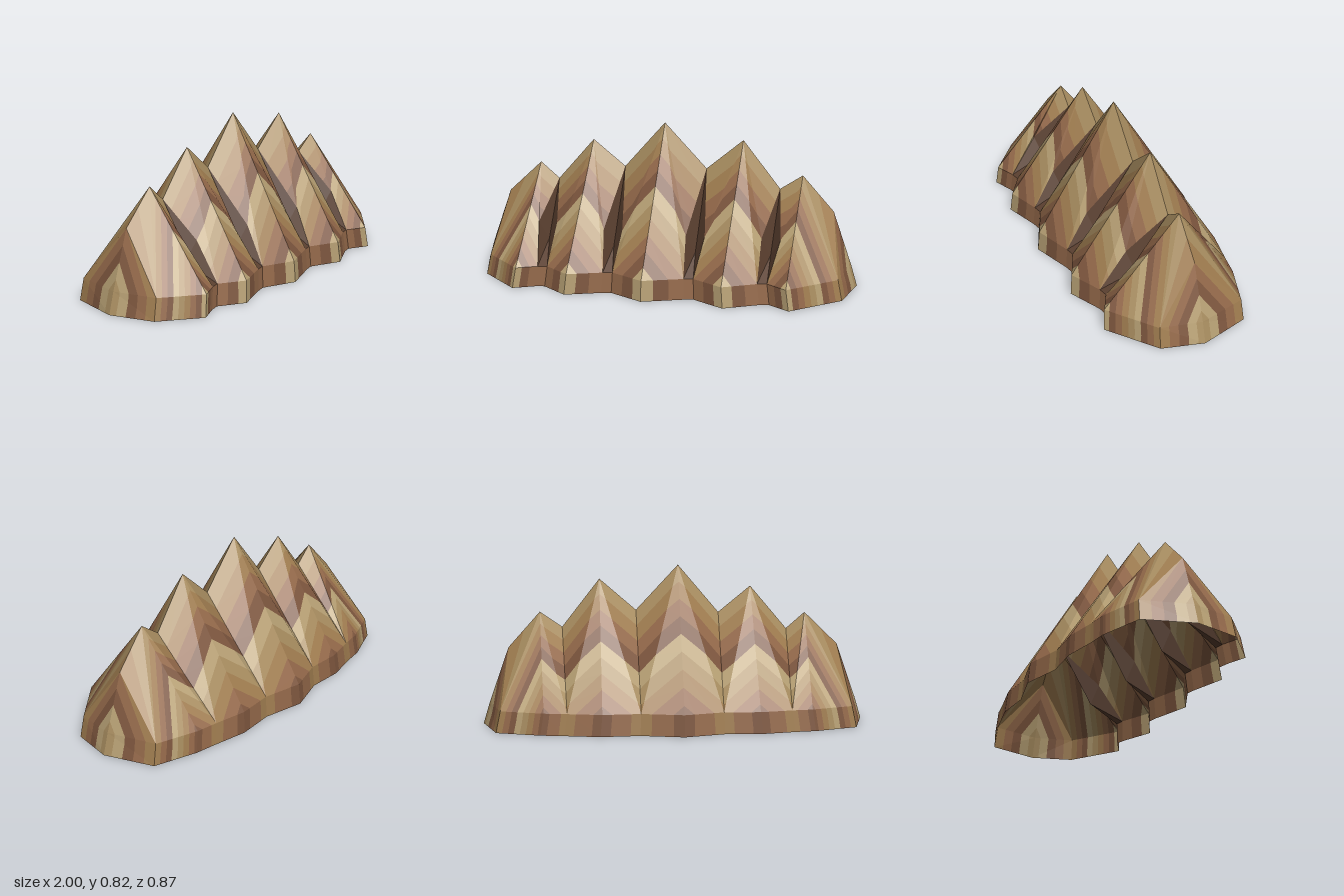
import * as THREE from 'three';

// Rock layers, repeated in this order from the ridge downwards
const LAYERS = [
  ['tanStrata', 0xa88d60], ['ochreStrata', 0xa07d50], ['brownStrata', 0x94694a],
  ['darkStrata', 0x7d563e], ['paleStrata', 0xb7a074],
];
const SKIRT = 0.11;   // height of the steep foot
const TAPER = 0.975;  // foot narrows slightly upwards

// Points are [x, y, z, layer]; ridge summits and saddles are [x, y]
const PEAKS = [[-0.69, 0.57], [-0.4, 0.712], [-0.02, 0.825], [0.39, 0.755], [0.7, 0.585]];
const SADDLES = [[-0.592, 0.485], [-0.232, 0.575], [0.2, 0.59], [0.585, 0.505]];
// Plan positions [x, z] of the foot below each summit and saddle
const FRONT_FOOT = [[-0.75, 0.39], [-0.465, 0.42], [-0.06, 0.43], [0.36, 0.43], [0.69, 0.4]];
const GULLY_Z = [0.335, 0.35, 0.35, 0.34];
const BACK_FOOT = [[-0.7, -0.34], [-0.42, -0.39], [-0.02, -0.44], [0.4, -0.4], [0.7, -0.34]];
const BACK_SADDLE = [[-0.59, -0.355], [-0.23, -0.38], [0.2, -0.388], [0.58, -0.362]];

// Keep the part of a polygon where sign * (layer - level) >= 0
function clip(poly, level, sign) {
  const out = [];
  poly.forEach((a, i) => {
    const b = poly[(i + 1) % poly.length];
    const da = sign * (a[3] - level), db = sign * (b[3] - level);
    if (da >= 0) out.push(a);
    if (da * db < 0) out.push(a.map((v, k) => v + (b[k] - v) * da / (da - db)));
  });
  return out;
}

function pushFan(target, poly) {
  for (let i = 1; i < poly.length - 1; i++)
    for (const p of [poly[0], poly[i], poly[i + 1]]) target.push(p[0], p[1], p[2]);
}

function makeMesh(name, color, positions) {
  const geometry = new THREE.BufferGeometry();
  geometry.setAttribute('position', new THREE.Float32BufferAttribute(positions, 3));
  geometry.computeVertexNormals();
  const mesh = new THREE.Mesh(geometry, new THREE.MeshStandardMaterial({
    color, flatShading: true, side: THREE.DoubleSide,
  }));
  mesh.name = name;
  return mesh;
}

export function createModel() {
  const group = new THREE.Group();
  group.name = 'mountainRidge';
  const strata = LAYERS.map(() => []);
  const gully = [];

  // Slice a triangle into rock layers
  const tri = (...p) => {
    const t = p.map(v => v[3]);
    for (let k = Math.floor(Math.min(...t)); k <= Math.max(...t); k++) {
      const slice = clip(clip(p, k, 1), k + 1, -1);
      if (slice.length > 2) pushFan(strata[k % LAYERS.length], slice);
    }
  };
  const fan = (...p) => {
    for (let i = 1; i < p.length - 1; i++) tri(p[0], p[i], p[i + 1]);
  };
  const foot = ([x, z], layer) => [x * TAPER, SKIRT, z * TAPER, layer];
  const top = ([x, y]) => [x, y, 0, 0];

  const peaks = PEAKS.map(top), saddles = SADDLES.map(top);
  const frontFoot = FRONT_FOOT.map(p => foot(p, 9.8));
  const backFoot = BACK_FOOT.map(p => foot(p, 8.5));
  const backSaddle = BACK_SADDLE.map(p => foot(p, 6.5));

  // Gullies cut into the front, one below each saddle
  const gullies = SADDLES.map(([x, y], i) => {
    const z = GULLY_Z[i];
    const edgeZ = z * (y - 0.3) / (y - SKIRT) + 0.02;
    return {
      left: [x - 0.065, 0.3, edgeZ, 4], right: [x + 0.033, 0.3, edgeZ, 4],
      inner: [x - 0.02, 0.2, edgeZ - 0.03, 0],
      footLeft: foot([x - 0.05, z + 0.01], 7), footRight: foot([x, z], 7),
    };
  });
  gullies.forEach((g, i) => {
    pushFan(gully, [g.inner, saddles[i], g.left, g.footLeft, g.footRight, g.right, saddles[i]]);
    // Front and back slopes on both sides of the gully
    fan(peaks[i], frontFoot[i], g.footLeft, g.left, saddles[i]);
    fan(peaks[i + 1], saddles[i], g.right, g.footRight, frontFoot[i + 1]);
    fan(peaks[i], saddles[i], backSaddle[i], backFoot[i]);
    fan(peaks[i + 1], backFoot[i + 1], backSaddle[i], saddles[i]);
  });

  // Fan-shaped ends
  const ends = [-1, 1].map(s => {
    const k = s < 0 ? 0 : 4;
    const end = {
      front: foot([s * 0.94, s < 0 ? 0.23 : 0.215], 1),
      back: foot([s * 0.925, -0.26], 1),
      tip: foot([s * 0.99, 0], 5.7),
      shoulder: [s * 0.865, 0.4, 0, 2],
    };
    end.tip[0] = s * 0.967;
    const face = (a, b, c) => (s > 0 ? tri(a, b, c) : tri(a, c, b));
    face(peaks[k], frontFoot[k], end.front);
    face(peaks[k], end.front, end.shoulder);
    face(end.shoulder, end.front, end.tip);
    face(end.shoulder, end.tip, end.back);
    face(peaks[k], end.shoulder, end.back);
    face(peaks[k], end.back, backFoot[k]);
    return end;
  });

  // Steep foot all the way round
  const [left, right] = ends;
  const ring = [left.tip, left.front];
  frontFoot.forEach((p, i) => {
    ring.push(p);
    if (gullies[i]) ring.push(gullies[i].footLeft, gullies[i].footRight);
  });
  ring.push(right.front, right.tip, right.back);
  for (let i = 4; i >= 0; i--) {
    ring.push(backFoot[i]);
    if (i > 0) ring.push(backSaddle[i - 1]);
  }
  ring.push(left.back);
  const ground = ring.map(([x, , z, t]) =>
    [Math.max(-1, Math.min(1, x / (Math.abs(x) > 0.95 ? 0.967 : TAPER))), 0, z / TAPER, t]);
  ring.forEach((a, i) => {
    const j = (i + 1) % ring.length;
    fan(a, ground[i], ground[j], ring[j]);
  });

  LAYERS.forEach(([name, color], i) => group.add(makeMesh(name, color, strata[i])));
  group.add(makeMesh('gullies', 0x5a3f2f, gully));
  return group;
}
